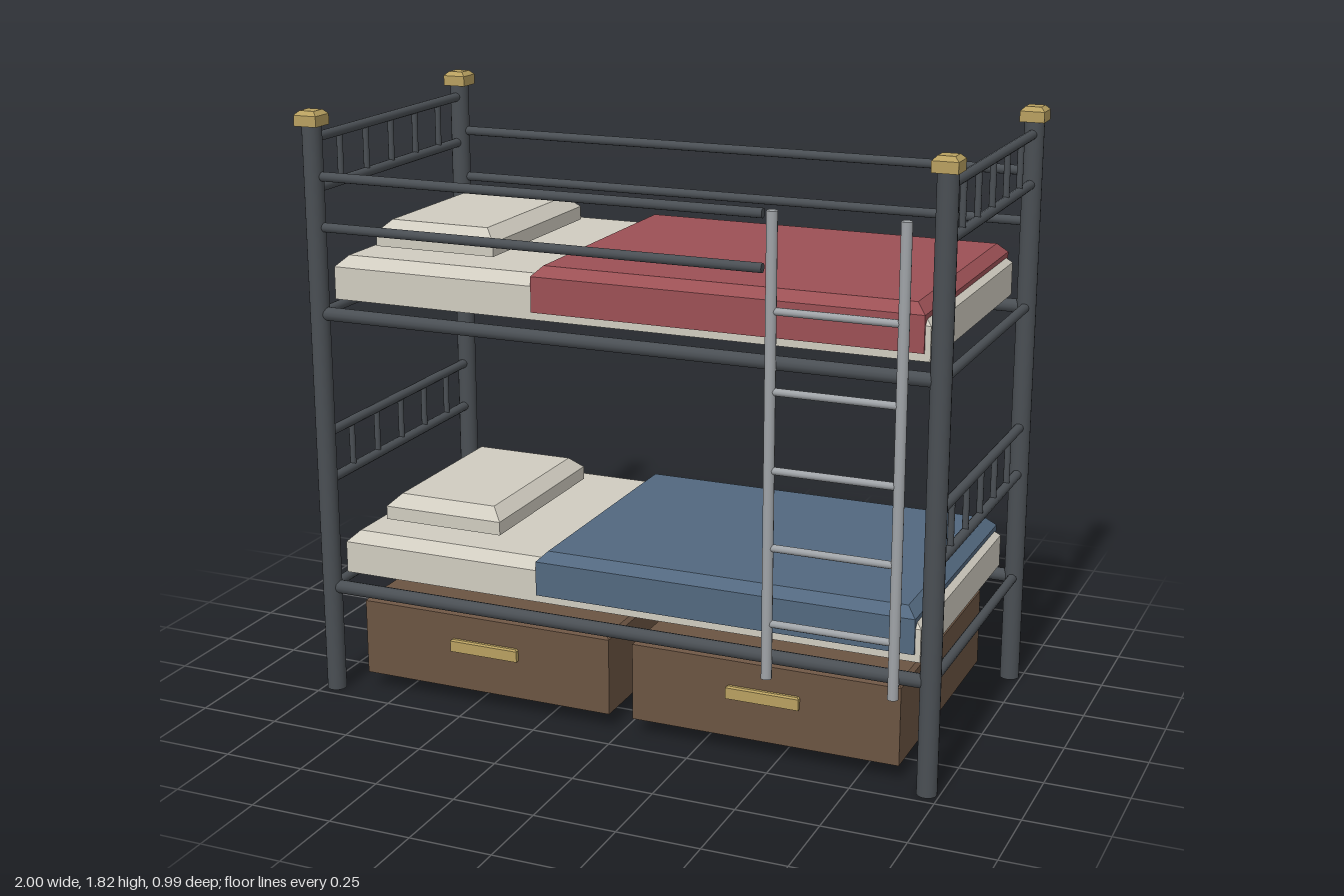
import * as THREE from 'three';

const mat = (color) => new THREE.MeshStandardMaterial({ color });
const flat = (color) => new THREE.MeshStandardMaterial({ color, flatShading: true });

const POST_X = 0.963, FRONT_Z = 0.447, BACK_Z = -0.459, MID_Z = -0.006;

export function createModel() {
  const model = new THREE.Group();
  model.name = 'bunkBed';

  const steel = mat(0x4a4f54), ladderMetal = mat(0xa0a4a8);
  const brass = flat(0xb8a060), wood = flat(0x6b5442), linen = flat(0xd0ccc0);
  const red = flat(0x9c5055), blue = flat(0x52687f);

  const add = (parent, name, geometry, material) => {
    const mesh = new THREE.Mesh(geometry, material);
    mesh.name = name;
    parent.add(mesh);
    return mesh;
  };

  // Round bar between two points
  const bar = (parent, name, a, b, radius, material, sides = 12) => {
    const from = new THREE.Vector3(...a), to = new THREE.Vector3(...b);
    const dir = to.clone().sub(from);
    const mesh = add(parent, name, new THREE.CylinderGeometry(radius, radius, dir.length(), sides), material);
    mesh.position.copy(from).add(to).multiplyScalar(0.5);
    mesh.quaternion.setFromUnitVectors(new THREE.Vector3(0, 1, 0), dir.normalize());
    return mesh;
  };

  // Box given by its limits, with a chamfer around the top
  const block = (parent, name, [x0, x1], [y0, y1], [z0, z1], inset, drop, material) => {
    const w = x1 - x0, h = y1 - y0, d = z1 - z0;
    const box = new THREE.BoxGeometry(w, h, d, 1, 2, 1);
    const p = box.attributes.position;
    for (let i = 0; i < p.count; i++) {
      const y = p.getY(i);
      if (y > h * 0.25) {
        p.setX(i, p.getX(i) * (1 - (2 * inset) / w));
        p.setZ(i, p.getZ(i) * (1 - (2 * inset) / d));
      } else if (y > -h * 0.25) {
        p.setY(i, h / 2 - drop);
      }
    }
    const geometry = box.toNonIndexed();
    geometry.computeVertexNormals();
    const mesh = add(parent, name, geometry, material);
    mesh.position.set((x0 + x1) / 2, (y0 + y1) / 2, (z0 + z1) / 2);
    return mesh;
  };

  // Corner posts with chamfered caps
  const frame = new THREE.Group();
  frame.name = 'frame';
  model.add(frame);
  for (const x of [-POST_X, POST_X]) {
    for (const z of [FRONT_Z, BACK_Z]) {
      bar(frame, 'post', [x, 0, z], [x, 1.778, z], 0.03, steel, 16);
      block(frame, 'postCap', [x - 0.037, x + 0.037], [1.775, 1.82], [z - 0.037, z + 0.037], 0.013, 0.013, brass);
    }
  }

  // Guard rails of the upper bunk; the front ones stop short at the ladder
  for (const y of [1.473, 1.625]) {
    bar(frame, 'backGuardRail', [-POST_X, y, BACK_Z], [POST_X, y, BACK_Z], 0.0145, steel);
    bar(frame, 'frontGuardRail', [-POST_X, y, FRONT_Z], [0.45, y, FRONT_Z], 0.0145, steel);
  }

  // The two bunks: rails, end panels and bedding, measured from the bed rail
  const bunks = [['lowerBunk', 0.34, blue, 0.682], ['upperBunk', 1.21, red, 1.587]];
  for (const [name, y, blanketColor, panelY] of bunks) {
    const bunk = new THREE.Group();
    bunk.name = name;
    model.add(bunk);

    for (const z of [FRONT_Z, BACK_Z]) {
      bar(bunk, 'sideRail', [-POST_X, y, z], [POST_X, y, z], 0.021, steel);
    }
    for (const x of [-POST_X, POST_X]) {
      for (const railY of [y, panelY, panelY + 0.15]) {
        bar(bunk, 'endRail', [x, railY, BACK_Z], [x, railY, FRONT_Z], 0.015, steel);
      }
      for (let i = -2; i <= 2; i++) {
        const z = MID_Z + i * 0.151;
        bar(bunk, 'baluster', [x, panelY, z], [x, panelY + 0.15, z], 0.0095, steel, 10);
      }
    }

    block(bunk, 'mattress', [-0.925, 0.922], [y + 0.04, y + 0.171], [-0.43, 0.418], 0.033, 0.032, linen);
    block(bunk, 'blanket', [-0.27, 0.906], [y + 0.063, y + 0.198], [-0.436, 0.424], 0.029, 0.029, blanketColor);
    block(bunk, 'pillow', [-0.85, -0.455], [y + 0.184, y + 0.262], [-0.307, 0.295], 0.037, 0.036, linen);
  }

  // Ladder
  const ladder = new THREE.Group();
  ladder.name = 'ladder';
  model.add(ladder);
  const ladderX = [0.488, 0.865], ladderZ = 0.48;
  for (const x of ladderX) {
    bar(ladder, 'ladderRail', [x, 0.286, ladderZ], [x, 1.642, ladderZ], 0.016, ladderMetal);
  }
  for (let i = 0; i < 5; i++) {
    const y = 0.454 + i * 0.2275;
    bar(ladder, 'rung', [ladderX[0], y, ladderZ], [ladderX[1], y, ladderZ], 0.011, ladderMetal, 10);
  }

  // Drawers under the lower bunk
  for (const x of [-0.455, 0.452]) {
    const drawer = new THREE.Group();
    drawer.name = 'drawer';
    model.add(drawer);
    block(drawer, 'drawerBox', [x - 0.415, x + 0.415], [0.05, 0.3], [-0.42, 0.408], 0.011, 0.011, wood);
    block(drawer, 'drawerHandle', [x - 0.113, x + 0.113], [0.173, 0.212], [0.395, 0.422], 0.005, 0.005, brass);
  }

  return model;
}
